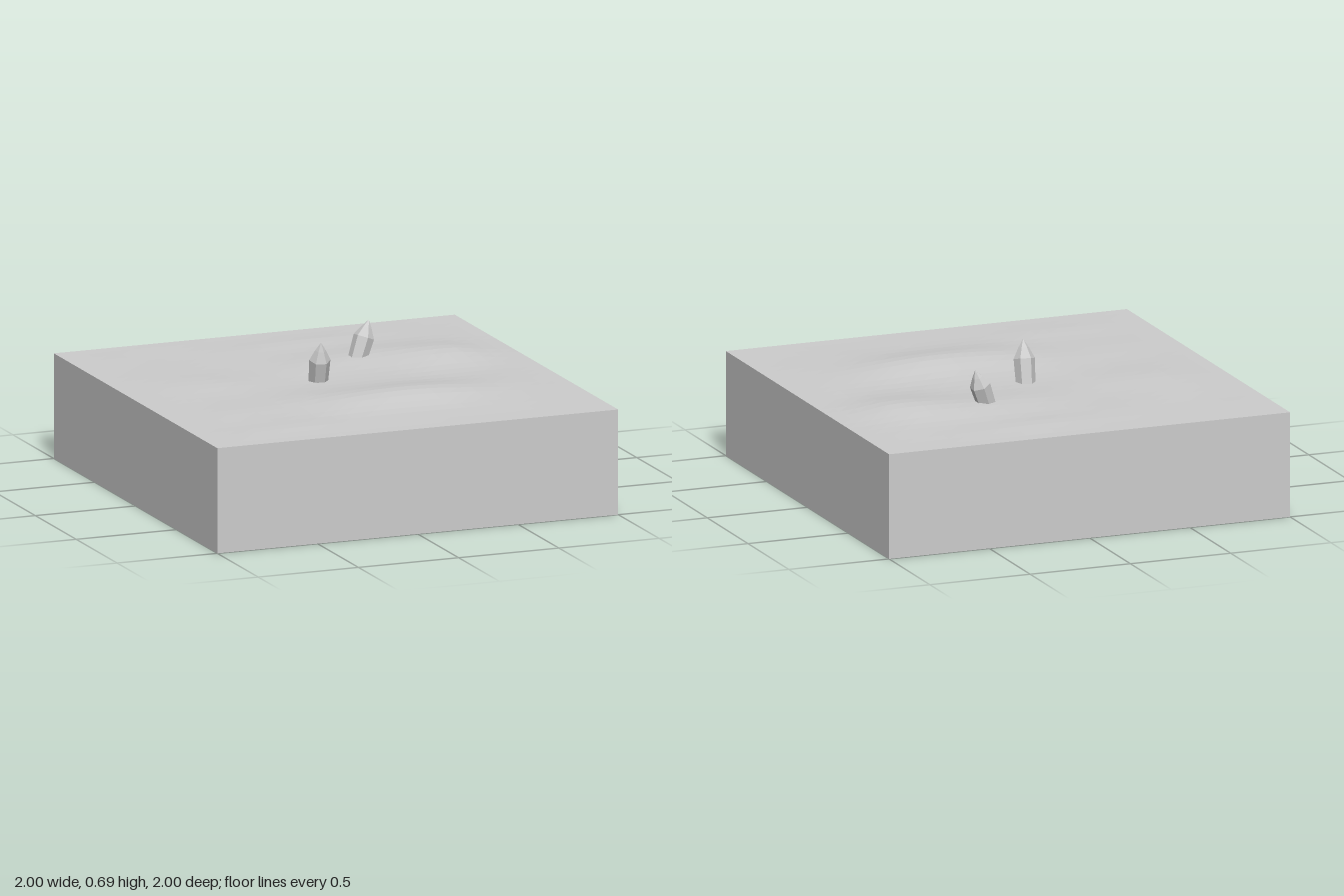
import * as THREE from 'three';

const stone = new THREE.MeshStandardMaterial({ color: 0xcccccc, flatShading: true, side: THREE.DoubleSide });
stone.name = 'pale grey stone';

// Low mounds: x, z, height, x spread, z spread
const mounds = [
  [0.15, 0.4, 0.04, 0.32, 0.15],
  [0.66, -0.3, 0.03, 0.18, 0.15],
  [0.25, -0.36, 0.017, 0.22, 0.15],
  [-0.7, -0.2, 0.01, 0.18, 0.14],
  [0.2, -0.78, 0.006, 0.3, 0.09],
  [-0.4, 0.8, 0.005, 0.3, 0.1],
];

function groundHeight(x, z) {
  let h = 0;
  for (const [cx, cz, height, sx, sz] of mounds) {
    h += height * Math.exp(-0.5 * (((x - cx) / sx) ** 2 + ((z - cz) / sz) ** 2));
  }
  const edge = (v) => Math.min(1, (1 - Math.abs(v)) / 0.25);
  const ripple = 0.0015 * (1 + Math.sin(9 * x + 4 * z) * Math.cos(11 * z - 3 * x));
  return 0.5 + (h + ripple) * edge(x) * edge(z);
}

function part(geometry, name) {
  const mesh = new THREE.Mesh(geometry, stone);
  mesh.name = name;
  return mesh;
}

// Lay a flat plane over the ground
function drape(geometry, lift) {
  const p = geometry.attributes.position;
  for (let i = 0; i < p.count; i++) p.setY(i, groundHeight(p.getX(i), p.getZ(i)) + lift);
  geometry.computeVertexNormals();
  return geometry;
}

// Six-sided leaning crystal with a chamfered foot and pointed tip
function crystal(name, foot, tip, radius, turn) {
  const a = new THREE.Vector3(...foot);
  const axis = new THREE.Vector3(...tip).sub(a);
  const length = axis.length();
  const profile = [[0, 0], [0.65, 0], [0.9, 0.08], [1, 0.64], [0.5, 0.84], [0, 1]]
    .map(([r, h]) => new THREE.Vector2(r * radius, h * length));
  const mesh = part(new THREE.LatheGeometry(profile, 6, turn), name);
  mesh.position.copy(a);
  mesh.quaternion.setFromUnitVectors(new THREE.Vector3(0, 1, 0), axis.normalize());
  return mesh;
}

// Thin sliver of rock lying along the ground
function sliver(name, from, to, width) {
  const dx = to[0] - from[0], dz = to[1] - from[1];
  const g = new THREE.PlaneGeometry(width, Math.hypot(dx, dz), 1, 12);
  g.rotateX(-Math.PI / 2);
  g.rotateY(Math.atan2(dx, dz));
  g.translate((from[0] + to[0]) / 2, 0, (from[1] + to[1]) / 2);
  return part(drape(g, 0.001), name);
}

export function createModel() {
  const model = new THREE.Group();
  model.name = 'crystalGround';

  // Uneven ground
  const ground = new THREE.PlaneGeometry(2, 2, 28, 28).rotateX(-Math.PI / 2);
  model.add(part(drape(ground, 0), 'ground'));

  // Four walls, open underneath
  ['frontWall', 'leftWall', 'backWall', 'rightWall'].forEach((name, i) => {
    const wall = new THREE.PlaneGeometry(2, 0.5).translate(0, 0.25, 1).rotateY(i * Math.PI / 2);
    model.add(part(wall, name));
  });

  // Crystals, their feet sunk through the ground
  model.add(crystal('tallCrystal', [-0.07, 0.45, -0.052], [-0.08, 0.695, 0.012], 0.05, 0.3));
  model.add(crystal('leaningCrystal', [0.238, 0.465, -0.352], [0.318, 0.68, -0.378], 0.049, 0));

  // Slivers beside the crystals
  model.add(sliver('longSliver', [-0.09, -0.04], [-0.335, 0.4], 0.025));
  model.add(sliver('shortSliver', [0.26, -0.37], [0.455, -0.53], 0.025));

  return model;
}
